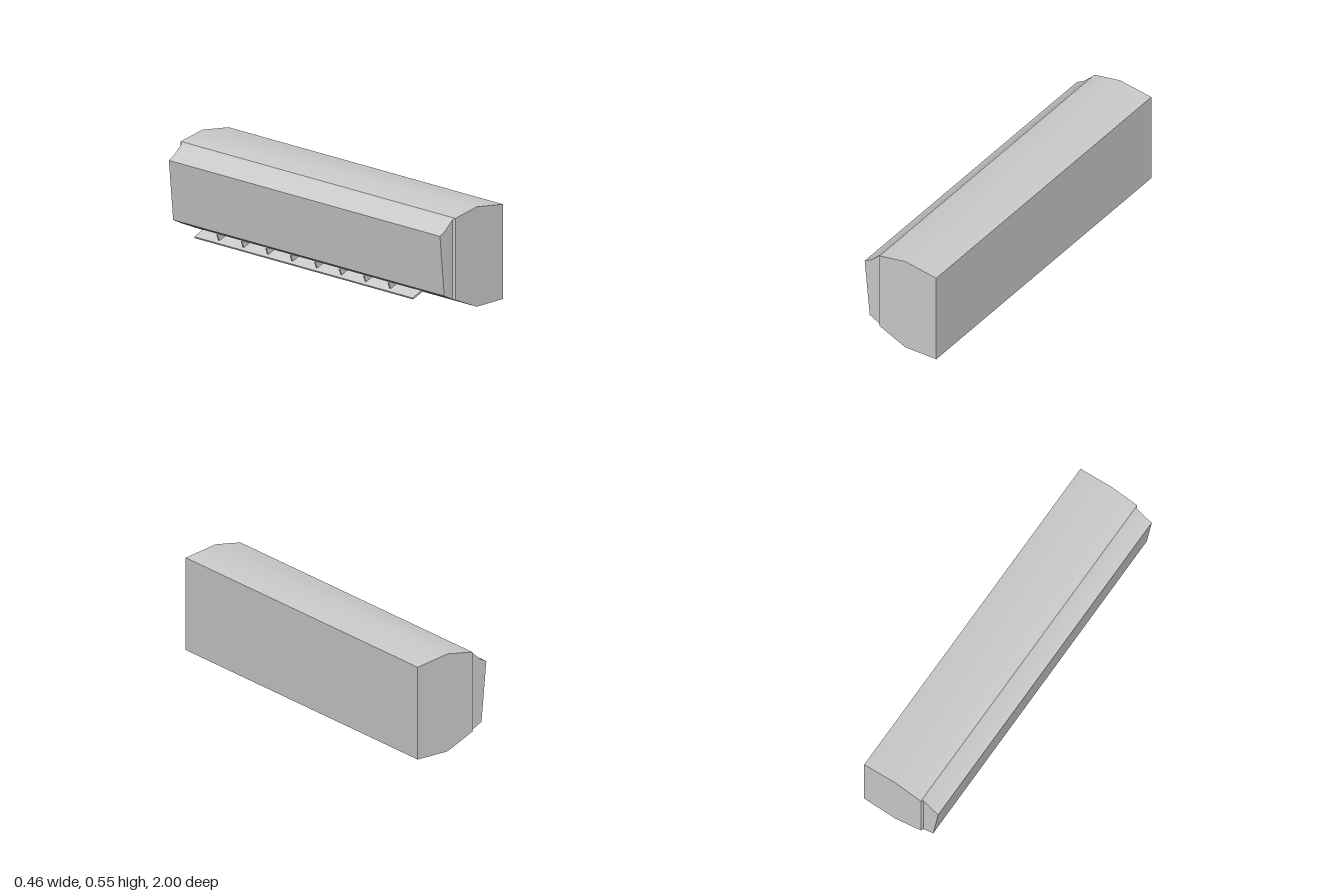
import * as THREE from 'three';
import { toCreasedNormals } from 'three/addons/utils/BufferGeometryUtils.js';

const grey = new THREE.MeshStandardMaterial({ color: 0xcccccc });

// Extrudes an x/y profile along z between z0 and z1
function prism(name, points, z0, z1, reshape) {
  const shape = new THREE.Shape(points.map(([x, y]) => new THREE.Vector2(x, y)));
  const geo = new THREE.ExtrudeGeometry(shape, { depth: z1 - z0, bevelEnabled: false });
  geo.translate(0, 0, z0);
  if (reshape) reshape(geo.attributes.position);
  const mesh = new THREE.Mesh(toCreasedNormals(geo, 0.5), grey);
  mesh.name = name;
  return mesh;
}

export function createModel() {
  const model = new THREE.Group();
  model.name = 'wallAirConditioner';
  const panelHalf = 0.987;

  // Main housing, flat against the wall at +x
  model.add(prism('housing', [
    [0.23, 0], [0.23, 0.518], [0.033, 0.547], [-0.13, 0.519], [-0.13, 0.072], [0.033, 0],
  ], -1, 1));

  // Narrow chamfer stepping in from the housing to the panel
  model.add(prism('seam', [
    [-0.13, 0.072], [-0.13, 0.519], [-0.137, 0.511], [-0.137, 0.075],
  ], -1, 1, (pos) => {
    for (let i = 0; i < pos.count; i++) {
      if (pos.getX(i) < -0.133) pos.setZ(i, Math.sign(pos.getZ(i)) * panelHalf);
    }
  }));

  // Sloping panel on the room side
  model.add(prism('panel', [
    [-0.137, 0.075], [-0.137, 0.511], [-0.192, 0.461], [-0.232, 0.44], [-0.2, 0.107],
  ], -panelHalf, panelHalf));

  // Air outlet: lip, tilted flap and the row of fins above it
  const outlet = new THREE.Group();
  outlet.name = 'airOutlet';
  const z0 = -0.87, z1 = 0.72;
  outlet.add(prism('outletLip', [
    [-0.168, 0.092], [-0.168, 0.089], [-0.13, 0.07], [-0.13, 0.074],
  ], z0, z1));
  outlet.add(prism('flap', [
    [-0.162, 0.032], [-0.158, 0.023], [-0.08, 0.052], [-0.095, 0.058],
  ], z0, z1));
  for (let i = 0; i < 8; i++) {
    const z = -0.71 + i * 0.178;
    outlet.add(prism('fin' + (i + 1), [
      [-0.157, 0.074], [-0.141, 0.04], [-0.095, 0.058], [-0.135, 0.077],
    ], z - 0.004, z + 0.004));
  }
  model.add(outlet);
  return model;
}
